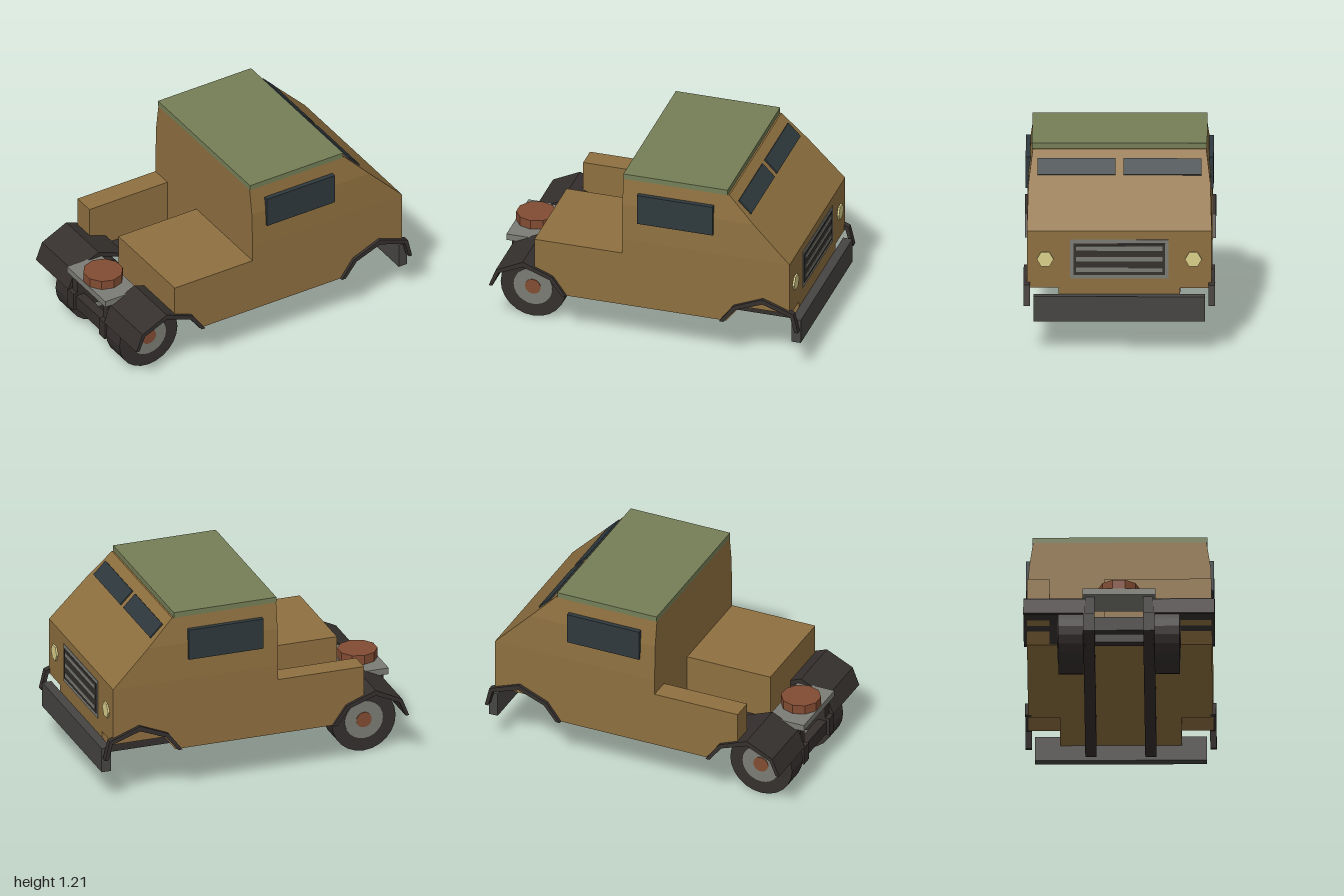
import * as THREE from 'three';

const mat = (color) => new THREE.MeshStandardMaterial({ color, flatShading: true });

export function createModel() {
  const tan = mat(0x8f7040), green = mat(0x757f57), dark = mat(0x35302e), steel = mat(0x464543);
  const grey = mat(0x7b7c75), glass = mat(0x2f393d), rust = mat(0x824c33), lamp = mat(0xdcd18c);
  const model = new THREE.Group();

  const add = (name, geometry, material, parent = model) => {
    const mesh = new THREE.Mesh(geometry, material);
    mesh.name = name;
    parent.add(mesh);
    return mesh;
  };
  // Box given by its limits on each axis
  const box = (name, material, [x0, x1], [y0, y1], [z0, z1], parent) => {
    const mesh = add(name, new THREE.BoxGeometry(x1 - x0, y1 - y0, z1 - z0), material, parent);
    mesh.position.set((x0 + x1) / 2, (y0 + y1) / 2, (z0 + z1) / 2);
    return mesh;
  };
  // Side profile (x, y) extruded from z0 to z1
  const slab = (name, material, points, z0, z1) => {
    const shape = new THREE.Shape(points.map(([x, y]) => new THREE.Vector2(x, y)));
    const mesh = add(name, new THREE.ExtrudeGeometry(shape, { depth: z1 - z0, bevelEnabled: false }), material);
    mesh.position.z = z0;
    return mesh;
  };
  // Extrudes the same profile on both sides
  const slabPair = (name, material, points, z0, z1) => {
    slab(name, material, points, z0, z1);
    slab(name, material, points, -z1, -z0);
  };

  // Lower cab: centre block plus sides with front wheel arches
  box('cabCentre', tan, [-0.145, 0.94], [0.295, 0.76], [-0.375, 0.375]);
  slabPair('cabSide', tan, [[-0.145, 0.295], [0.53, 0.295], [0.6, 0.385], [0.77, 0.46],
    [0.94, 0.395], [0.94, 0.76], [-0.145, 0.76]], 0.375, 0.57);

  // Upper cab: box narrowed level by level, with a raked front
  const levels = [[0.76, 0.94, 0.57], [1.0, 0.706, 0.561], [1.17, 0.54, 0.535]];
  const upper = new THREE.BoxGeometry(2, 2, 2, 1, 2, 1);
  const pos = upper.attributes.position;
  for (let i = 0; i < pos.count; i++) {
    const [y, front, half] = levels[Math.round(pos.getY(i) + 1)];
    pos.setXYZ(i, pos.getX(i) > 0 ? front : -0.145, y, pos.getZ(i) * half);
  }
  upper.computeVertexNormals();
  add('cabUpper', upper, tan);
  box('roof', green, [-0.145, 0.53], [1.17, 1.205], [-0.54, 0.54]);

  // Rear deck with rear wheel arches and an open bay
  const rearSide = [[-0.71, 0.445], [-0.6, 0.39], [-0.53, 0.295], [-0.145, 0.295], [-0.145, 0.66], [-0.71, 0.66]];
  box('deckCentre', tan, [-0.71, -0.145], [0.295, 0.66], [-0.09, 0.21]);
  slab('deckSide', tan, rearSide, 0.21, 0.57);
  slab('deckRail', tan, rearSide, -0.57, -0.43);
  box('bayUnderside', tan, [-0.53, -0.145], [0.295, 0.33], [-0.43, -0.09]);
  box('bayFloor', dark, [-0.55, -0.145], [0.33, 0.365], [-0.43, -0.21]);
  box('bayFloor', dark, [-0.71, -0.145], [0.33, 0.365], [-0.21, -0.09]);

  // Fenders: angular arch bands
  const fender = (name, outer, cx, z0, z1) => {
    const inner = outer.map(([x, y]) => [cx + (x - cx) * 0.9, 0.295 + (y - 0.295) * 0.83]).reverse();
    slabPair(name, dark, [...outer, ...inner], z0, z1);
  };
  fender('rearFender', [[-1, 0.295], [-0.955, 0.41], [-0.78, 0.495], [-0.59, 0.42], [-0.5, 0.295]], -0.77, 0.21, 0.59);
  fender('frontFender', [[0.49, 0.295], [0.58, 0.415], [0.77, 0.495], [0.97, 0.42], [1, 0.295]], 0.77, 0.55, 0.59);

  // Chassis and rear stand
  for (const s of [-1, 1]) {
    const side = (a, b) => (s > 0 ? [a, b] : [-b, -a]);
    box('chassisRail', dark, [-1, 0.85], [0.175, 0.295], side(0.15, 0.22));
    box('standPost', dark, [-0.97, -0.9], [0.295, 0.42], side(0.15, 0.21));

    // Rear wheels: tyre, hub and cap
    const wheel = new THREE.Group();
    wheel.name = 'rearWheel';
    wheel.position.set(-0.78, 0.21, s * 0.2975);
    wheel.rotation.x = Math.PI / 2;
    for (const [name, r, h, m] of [['tyre', 0.21, 0.155, dark], ['hub', 0.125, 0.163, grey], ['hubCap', 0.05, 0.171, rust]])
      add(name, new THREE.CylinderGeometry(r, r, h, 24), m, wheel);
    model.add(wheel);

    // Side windows, windscreen panes and headlights
    box('sideWindow', glass, [-0.045, 0.445], [0.89, 1.09], side(0.55, 0.58));
    const pane = add('windscreenPane', new THREE.BoxGeometry(0.114, 0.012, 0.48), glass);
    pane.position.set(0.63, 1.082, s * 0.265);
    pane.rotation.z = -Math.atan2(0.41, 0.4);
    const light = add('headlight', new THREE.CylinderGeometry(0.052, 0.052, 0.03, 6), lamp);
    light.rotation.z = Math.PI / 2;
    light.position.set(0.936, 0.58, s * 0.457);
  }
  box('rearCrossmember', dark, [-0.98, -0.92], [0.185, 0.275], [-0.15, 0.15]);
  box('axle', dark, [-0.81, -0.75], [0.185, 0.24], [-0.22, 0.22]);
  box('standPlate', grey, [-1, -0.755], [0.418, 0.46], [-0.225, 0.225]);
  const turntable = add('turntable', new THREE.CylinderGeometry(0.125, 0.125, 0.06, 10), rust);
  turntable.position.set(-0.877, 0.49, 0);

  // Grille and bumper
  box('grilleFrame', grey, [0.93, 0.944], [0.455, 0.705], [-0.305, 0.305]);
  box('grilleRecess', dark, [0.93, 0.947], [0.48, 0.68], [-0.283, 0.283]);
  for (const y of [0.513, 0.581, 0.65])
    box('grilleSlat', grey, [0.93, 0.951], [y - 0.014, y + 0.014], [-0.266, 0.266]);
  box('bumper', steel, [0.94, 1], [0.195, 0.355], [-0.53, 0.53]);

  return model;
}
